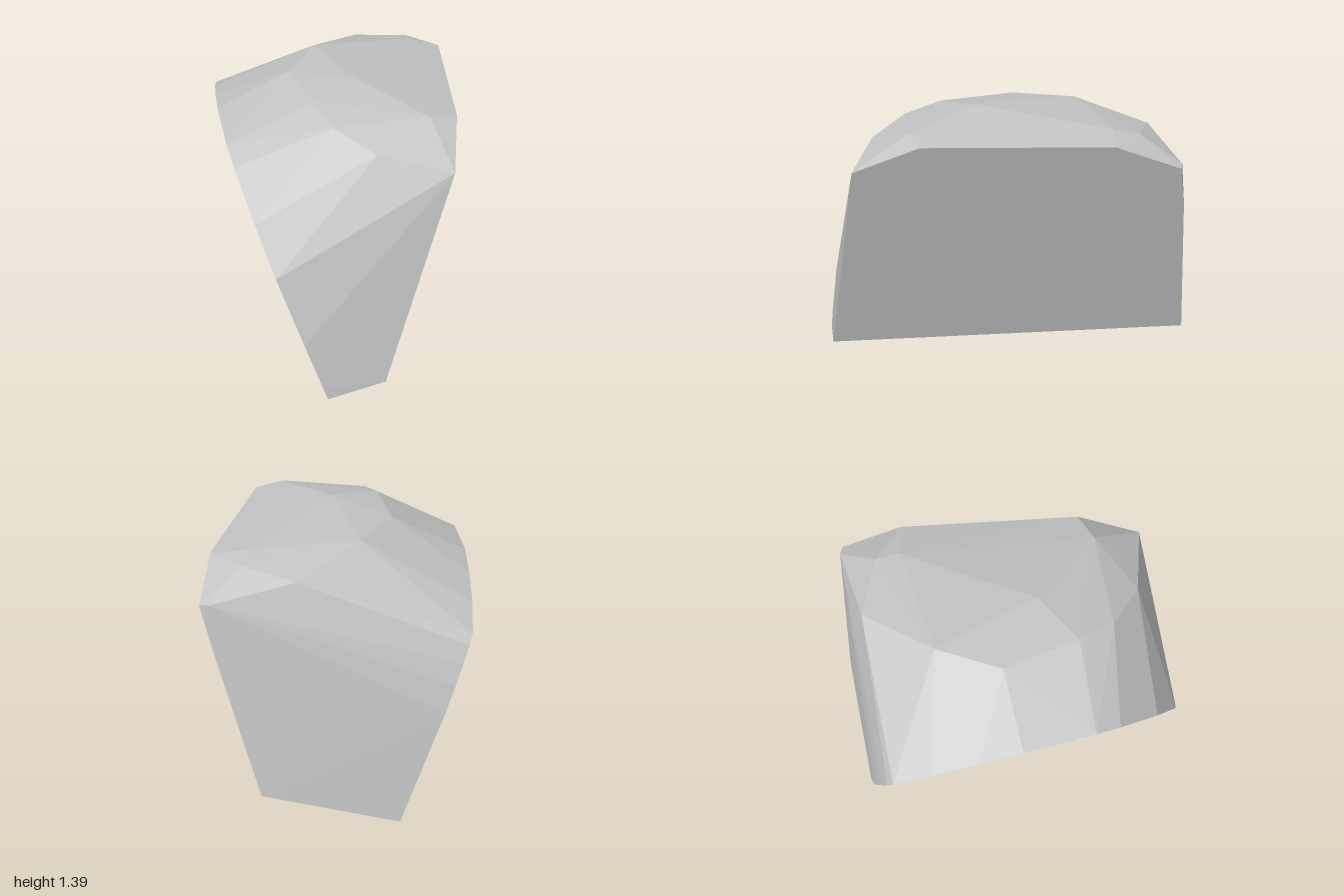
import * as THREE from 'three';
import { ConvexGeometry } from 'three/addons/geometries/ConvexGeometry.js';

// The two large cleaved sides are flat planes: x follows from height and depth.
const leftCut = ([y, z]) => new THREE.Vector3(0.2995 + 0.278 * y + 0.0696 * z, y, z);
const rightCut = ([y, z]) => new THREE.Vector3(-0.1705 - 0.355 * y + 0.2625 * z, y, z);

export function createModel() {
  const stone = new THREE.MeshStandardMaterial({ color: 0xc4c4c4 });
  stone.name = 'pale grey stone';

  // Outline of the flat side towards +x
  const leftOutline = [
    [0.065, 0.92], [1.165, 0.69], [1.305, 0.35], [1.31, -0.58],
    [1.19, -0.905], [0.99, -0.936], [0.185, -1],
  ].map(leftCut);

  // Outline of the flat side towards -x
  const rightOutline = [
    [0, 1], [0.07, 0.999], [0.32, 0.98], [0.67, 0.92], [0.89, 0.78], [1.08, 0.56],
    [1.14, 0.43], [1.165, 0.06], [1.14, -0.16], [1.095, -0.4], [1.03, -0.6],
    [0.98, -0.635], [0.9, -0.67], [0.79, -0.71], [0.65, -0.75], [0.03, -0.86],
  ].map(rightCut);

  // Worn, rounded crown between the two cuts
  const crown = [
    [-0.19, 1.355, -0.04], [-0.09, 1.366, -0.38], [0.18, 1.386, 0.13],
    [-0.03, 1.345, 0.34], [0.08, 1.3, 0.52], [0.3, 1.23, 0.66],
    [0.55, 1.33, 0.43], [0.45, 1.345, -0.58], [0.43, 1.32, -0.705],
    [0.13, 1.29, -0.765], [0.52, 1.2, -0.912],
  ].map((p) => new THREE.Vector3(...p));

  // Faceted boulder wrapped around all three
  const boulder = new THREE.Mesh(
    new ConvexGeometry([...leftOutline, ...rightOutline, ...crown]), stone);
  boulder.name = 'boulder';

  const model = new THREE.Group();
  model.name = 'rock';
  model.add(boulder);
  return model;
}
